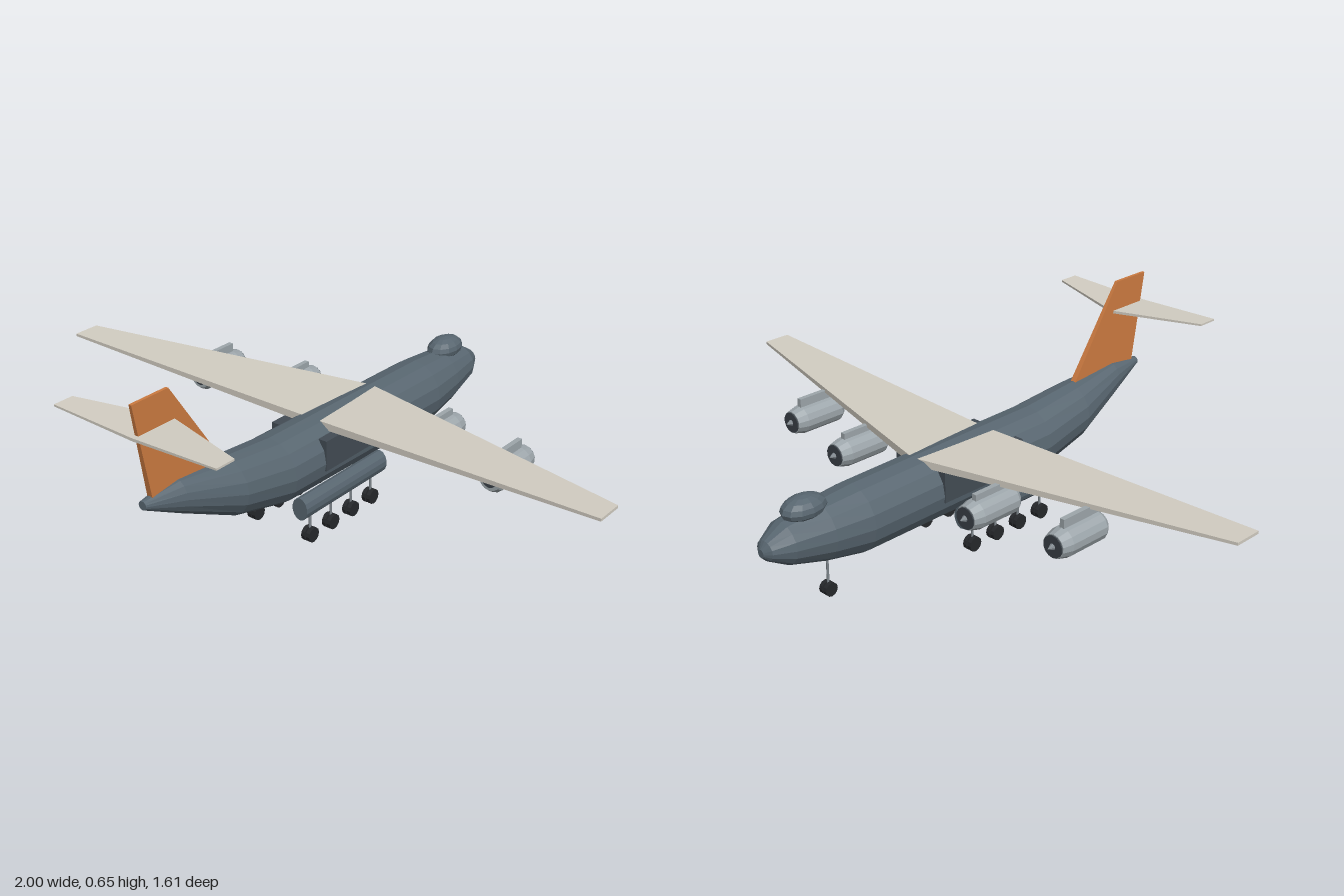
import * as THREE from 'three';

const mat = (color) => new THREE.MeshStandardMaterial({ color, flatShading: true });
const hull = mat(0x586670);
const panel = mat(0x434c54);
const pale = mat(0xd2cdc2);
const orange = mat(0xcb7a40);
const metal = mat(0x9da6ab);
const steel = mat(0x7d858b);
const dark = mat(0x3a4148);
const rubber = mat(0x26282b);

// Skins a row of closed rings (equal point counts) and caps both ends.
function loft(rings) {
  const n = rings[0].length, pos = rings.flat(2), idx = [];
  for (let i = 0; i < rings.length - 1; i++) {
    for (let j = 0; j < n; j++) {
      const a = i * n + j, b = i * n + (j + 1) % n;
      idx.push(a, b, b + n, a, b + n, a + n);
    }
  }
  const last = (rings.length - 1) * n;
  for (let j = 1; j < n - 1; j++) {
    idx.push(0, j + 1, j, last, last + j, last + j + 1);
  }
  const g = new THREE.BufferGeometry();
  g.setAttribute('position', new THREE.Float32BufferAttribute(pos, 3));
  g.setIndex(idx);
  const flat = g.toNonIndexed();
  flat.computeVertexNormals();
  return flat;
}

// Horizontal surface through three stations: left tip, root, right tip.
function span(half, root, tip) {
  const ring = (x, [z0, z1, y0, y1]) => [[x, y1, z0], [x, y1, z1], [x, y0, z1], [x, y0, z0]];
  return loft([ring(-half, tip), ring(0, root), ring(half, tip)]);
}

export function createModel() {
  const model = new THREE.Group();
  const add = (parent, name, geometry, material, x = 0, y = 0, z = 0) => {
    const mesh = new THREE.Mesh(geometry, material);
    mesh.name = name;
    mesh.position.set(x, y, z);
    parent.add(mesh);
    return mesh;
  };

  // Fuselage stations: z, bottom, top, half width
  const stations = [
    [-0.81, 0.215, 0.24, 0.012], [-0.795, 0.2, 0.262, 0.035], [-0.735, 0.167, 0.297, 0.068],
    [-0.61, 0.132, 0.315, 0.091], [-0.48, 0.107, 0.325, 0.105], [-0.1, 0.11, 0.331, 0.105],
    [0.255, 0.119, 0.335, 0.105], [0.45, 0.166, 0.354, 0.09],
    [0.65, 0.26, 0.37, 0.045], [0.78, 0.326, 0.353, 0.014],
  ];
  const sides = 16;
  add(model, 'fuselage', loft(stations.map(([z, y0, y1, w]) =>
    Array.from({ length: sides }, (_, j) => {
      const a = (j / sides) * Math.PI * 2;
      return [w * Math.cos(a), (y0 + y1) / 2 + (y1 - y0) / 2 * Math.sin(a), z];
    }))), hull);

  // Cockpit blister
  const dome = new THREE.SphereGeometry(1, 12, 8);
  dome.scale(0.05, 0.038, 0.076);
  add(model, 'cockpitBlister', dome, hull, 0, 0.315, -0.655);

  // Wing box and flying surfaces
  add(model, 'wingBox', new THREE.BoxGeometry(0.212, 0.1, 0.33), panel, 0, 0.25, -0.046);
  add(model, 'wing', span(1, [-0.243, 0.062, 0.3, 0.325], [-0.008, 0.084, 0.335, 0.344]), pale);
  add(model, 'tailplane', span(0.297, [0.647, 0.803, 0.543, 0.552], [0.735, 0.803, 0.555, 0.561]), pale);

  // Tail fin
  const finRing = (y, z0, z1, t) => [[-t, y, z1], [t, y, z1], [t, y, z0], [-t, y, z0]];
  add(model, 'tailFin', loft([finRing(0.335, 0.455, 0.747, 0.01), finRing(0.648, 0.665, 0.803, 0.005)]), orange);

  // Engines: nacelle, intake, exhaust, spinner and pylon
  const shell = new THREE.LatheGeometry([
    [0, 0], [0.036, 0], [0.046, 0.015], [0.046, 0.155], [0.037, 0.19], [0.03, 0.19], [0, 0.18],
  ].map(([r, h]) => new THREE.Vector2(r, h)), 14);
  shell.rotateX(-Math.PI / 2);
  const disc = new THREE.CylinderGeometry(0.025, 0.025, 0.006, 14);
  disc.rotateX(Math.PI / 2);
  const intake = new THREE.CylinderGeometry(0.034, 0.034, 0.008, 14);
  intake.rotateX(Math.PI / 2);
  const cone = new THREE.ConeGeometry(0.012, 0.022, 8);
  cone.rotateX(-Math.PI / 2);
  for (const s of [-1, 1]) {
    for (const [x, front, top] of [[0.285, -0.303, 0.318], [0.567, -0.246, 0.326]]) {
      const engine = new THREE.Group();
      engine.name = 'engine';
      engine.position.set(s * x, 0.254, front);
      add(engine, 'nacelle', shell, metal, 0, 0, 0.19);
      add(engine, 'intake', intake, dark, 0, 0, 0);
      add(engine, 'exhaust', disc, dark, 0, 0, 0.19);
      add(engine, 'spinner', cone, steel, 0, 0, -0.012);
      const h = top - 0.254 - 0.038;
      add(engine, 'pylon', new THREE.BoxGeometry(0.016, h, 0.155), metal, 0, 0.038 + h / 2, 0.11);
      model.add(engine);
    }
  }

  // Landing gear: pods along the belly, struts and paired wheels
  const wheel = (r) => new THREE.CylinderGeometry(r, r, 0.013, 12).rotateZ(Math.PI / 2);
  const gear = (name, x, z, r, top) => {
    const g = new THREE.Group();
    g.name = name;
    g.position.set(x, 0, z);
    add(g, 'strut', new THREE.CylinderGeometry(0.004, 0.004, top - r, 8), steel, 0, (top + r) / 2, 0);
    add(g, 'axle', new THREE.CylinderGeometry(0.004, 0.004, 0.024, 8).rotateZ(Math.PI / 2), steel, 0, r, 0);
    for (const s of [-1, 1]) add(g, 'wheel', wheel(r), rubber, s * 0.009, r, 0);
    model.add(g);
  };
  const pod = new THREE.CylinderGeometry(1, 1, 0.395, 14);
  pod.rotateX(Math.PI / 2);
  pod.scale(0.028, 0.037, 1);
  for (const s of [-1, 1]) {
    add(model, 'gearPod', pod, hull, s * 0.107, 0.128, 0.05);
    for (const z of [-0.1, 0, 0.1, 0.2]) gear('mainGear', s * 0.107, z, 0.024, 0.11);
  }
  gear('noseGear', 0, -0.58, 0.022, 0.15);

  return model;
}
